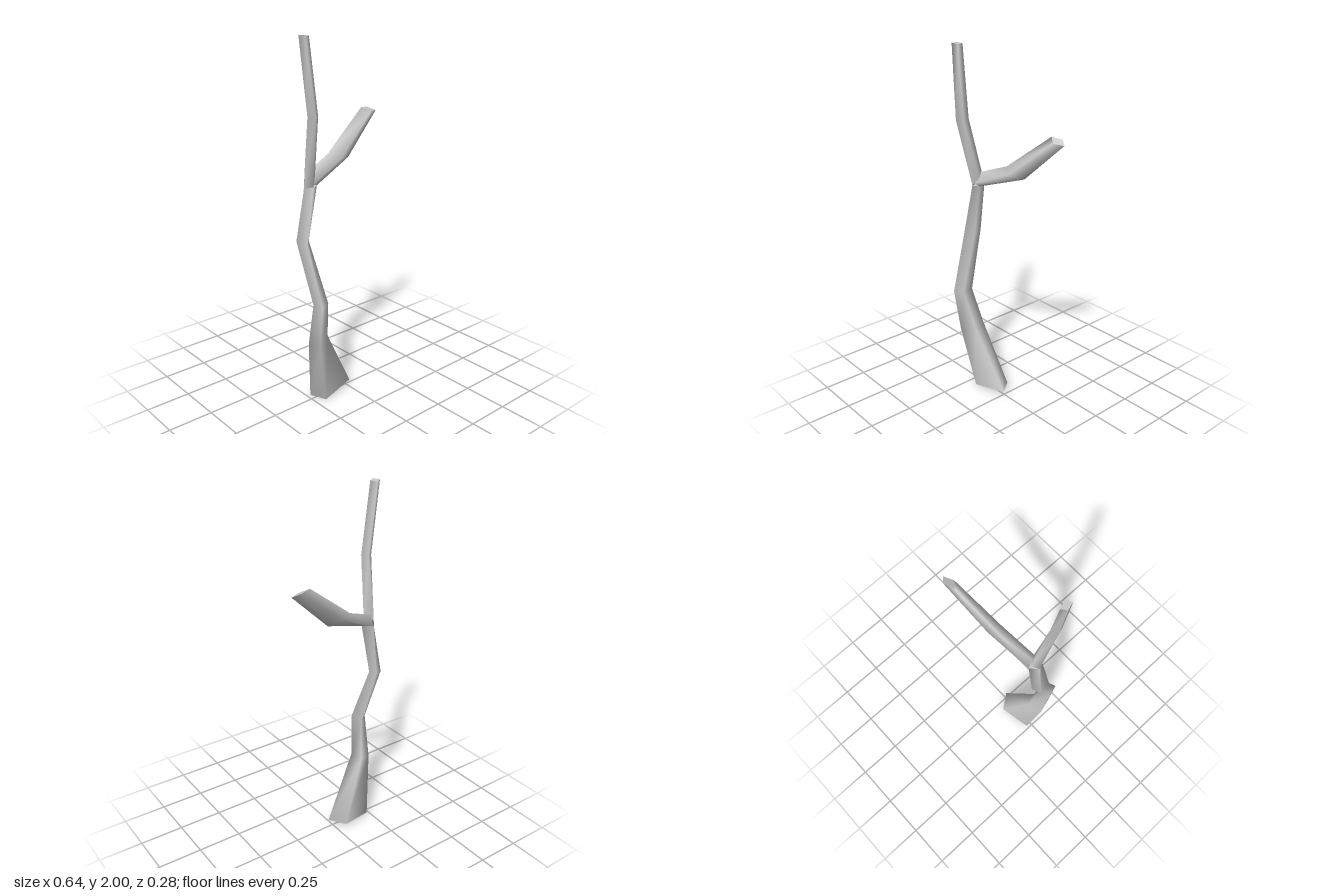
import * as THREE from 'three';

const material = new THREE.MeshStandardMaterial({ color: 0xcccccc });

// Smooth four-sided limb lofted through rings of corners, with flat end caps.
// Corners run counter-clockwise seen from the far end.
function limb(name, rings) {
  const n = 4, pos = [], index = [];
  rings.forEach(ring => ring.forEach(p => pos.push(...p)));
  for (let r = 0; r < rings.length - 1; r++) {
    for (let i = 0; i < n; i++) {
      const a = r * n + i, b = r * n + (i + 1) % n;
      index.push(a, b, b + n, a, b + n, a + n);
    }
  }
  // caps use their own corners so the cut ends stay sharp
  [[...rings[0]].reverse(), rings[rings.length - 1]].forEach(cap => {
    const s = pos.length / 3;
    cap.forEach(p => pos.push(...p));
    index.push(s, s + 1, s + 2, s, s + 2, s + 3);
  });
  const g = new THREE.BufferGeometry();
  g.setAttribute('position', new THREE.Float32BufferAttribute(pos, 3));
  g.setIndex(index);
  g.computeVertexNormals();
  const mesh = new THREE.Mesh(g, material);
  mesh.name = name;
  return mesh;
}

export function createModel() {
  const tree = new THREE.Group();
  tree.name = 'bareTree';

  // ring corners: front, right, back, left
  const fork = [[-0.235, 1.24, 0.025], [-0.197, 1.24, 0.005], [-0.23, 1.25, -0.058], [-0.265, 1.23, -0.015]];

  // flared, crooked trunk
  tree.add(limb('trunk', [
    [[-0.19, 0, 0.057], [0.016, 0.03, 0.018], [-0.05, 0.025, -0.07], [-0.235, 0.005, -0.03]],
    [[-0.265, 0.37, 0.105], [-0.182, 0.4, 0.063], [-0.2, 0.4, -0.012], [-0.287, 0.365, 0.03]],
    [[-0.275, 0.62, 0.14], [-0.218, 0.62, 0.115], [-0.235, 0.62, 0.04], [-0.29, 0.62, 0.08]],
    [[-0.295, 0.94, 0.043], [-0.252, 0.95, 0.0], [-0.263, 0.96, -0.053], [-0.31, 0.95, -0.03]],
    fork,
  ]));

  // upright leader rising from the fork
  tree.add(limb('leader', [
    [fork[0], [-0.205, 1.29, 0.0], [-0.235, 1.28, -0.05], fork[3]],
    [[-0.273, 1.61, 0.098], [-0.238, 1.61, 0.073], [-0.253, 1.61, 0.028], [-0.288, 1.61, 0.052]],
    [[-0.314, 2, 0.082], [-0.282, 1.995, 0.066], [-0.298, 1.995, 0.024], [-0.325, 2, 0.041]],
  ]));

  // side branch; ring corners: front, bottom, back, top
  tree.add(limb('sideBranch', [
    [[-0.235, 1.25, 0.015], fork[1], fork[2], [-0.225, 1.31, -0.03]],
    [[0.0, 1.345, -0.026], [0.08, 1.33, -0.07], [0.02, 1.36, -0.105], [-0.06, 1.37, -0.072]],
    [[0.265, 1.555, -0.09], [0.32, 1.55, -0.114], [0.28, 1.57, -0.143], [0.22, 1.577, -0.123]],
  ]));

  return tree;
}
